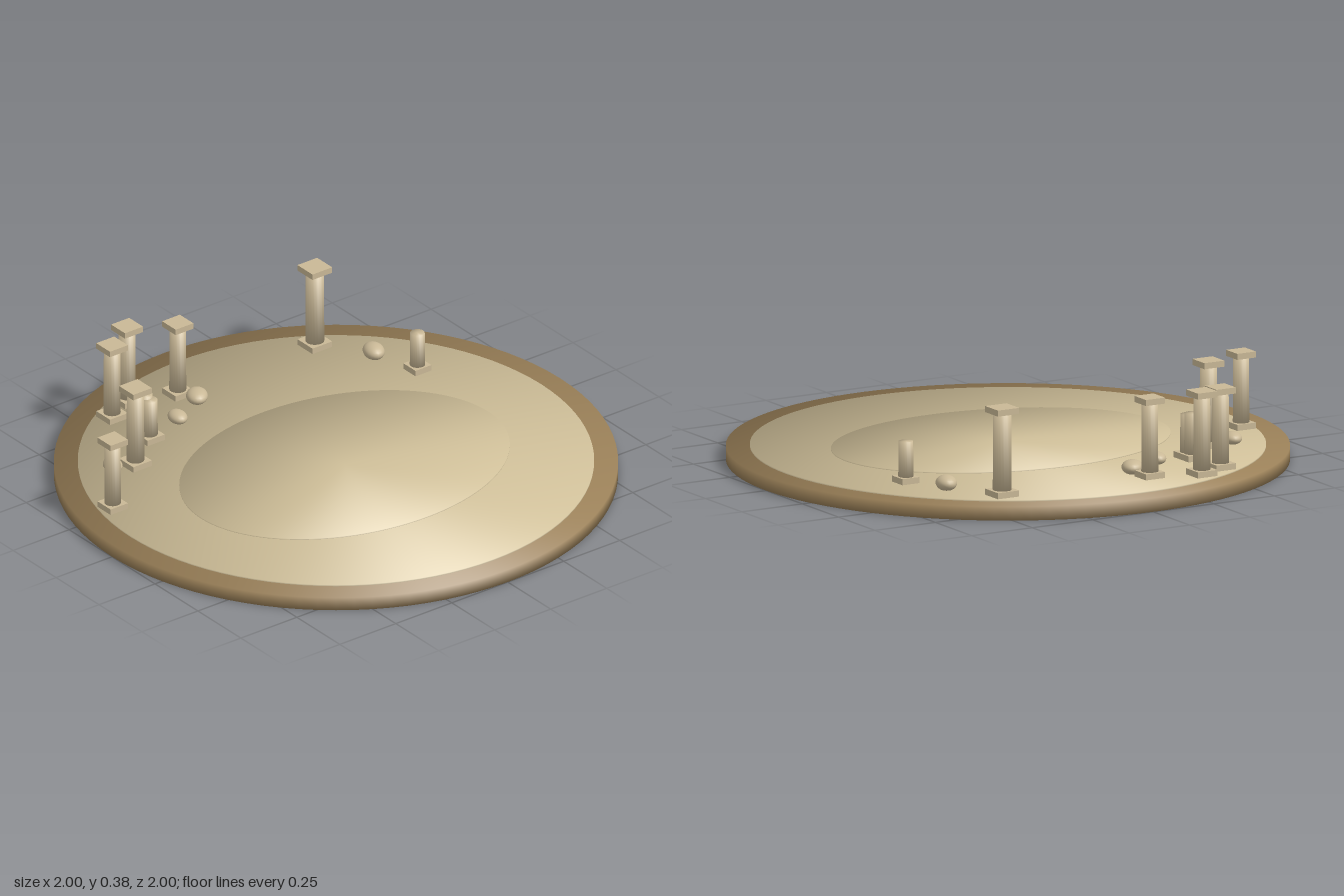
import * as THREE from 'three';

const mat = (name, color) => {
  const m = new THREE.MeshStandardMaterial({ color });
  m.name = name;
  return m;
};

// Solid drum with softly blended normals around its edges
function drum(rx, rz, y0, y1, segments, rTop = 1) {
  const profile = [[0, y0], [1, y0], [rTop, y1], [0, y1]].map(([r, y]) => new THREE.Vector2(r, y));
  const geo = new THREE.LatheGeometry(profile, segments);
  geo.scale(rx, 1, rz);
  const pos = geo.attributes.position, nor = geo.attributes.normal;
  const n = new THREE.Vector3();
  const mid = (y0 + y1) / 2;
  for (let i = 0; i < pos.count; i++) {
    n.set(pos.getX(i) / (rx * rx), 0, pos.getZ(i) / (rz * rz));
    if (n.length() > 1e-4) n.normalize();
    n.y = pos.getY(i) > mid ? 1 : -1;
    n.normalize();
    nor.setXYZ(i, n.x, n.y, n.z);
  }
  return geo;
}

export function createModel() {
  const rimBrown = mat('rim brown', 0x9a8058);
  const sand = mat('sand', 0xcfbf99);
  const stone = mat('stone', 0xc9b896);

  const model = new THREE.Group();
  model.name = 'ruinedArena';
  const add = (parent, name, geo, material, x = 0, y = 0, z = 0) => {
    const mesh = new THREE.Mesh(geo, material);
    mesh.name = name;
    mesh.position.set(x, y, z);
    parent.add(mesh);
    return mesh;
  };

  // Ground: brown base, sandy floor, raised oval
  add(model, 'baseDisc', drum(1, 1, 0, 0.05, 96), rimBrown);
  add(model, 'sandFloor', drum(0.915, 0.915, 0.045, 0.055, 96), sand);
  add(model, 'innerOval', drum(0.64, 0.48, 0.05, 0.059, 96), sand, 0, 0, 0.05);

  const floor = 0.055;

  // Pillar: square foot, round shaft and, when intact, a square cap
  function pillar(name, x, z, top, width, intact) {
    const g = new THREE.Group();
    g.name = name;
    g.position.set(x, 0, z);
    const slab = 0.022, r = width * 0.385;
    const shaftTop = intact ? top - slab : top;
    add(g, 'foot', new THREE.BoxGeometry(width, slab, width), stone, 0, floor + slab / 2, 0);
    add(g, 'shaft', drum(r, r, floor + slab * 0.8, shaftTop, 20, 0.95), stone);
    if (intact) add(g, 'cap', new THREE.BoxGeometry(width, slab, width), stone, 0, top - slab / 2, 0);
    model.add(g);
  }

  // x, z, top height, foot width
  [
    [-0.84, -0.205, 0.335, 0.077],
    [-0.585, -0.405, 0.37, 0.083],
    [-0.44, -0.73, 0.352, 0.08],
    [-0.327, -0.79, 0.363, 0.081],
    [-0.152, -0.723, 0.347, 0.079],
    [0.45, -0.71, 0.377, 0.088],
  ].forEach((p) => pillar('column', ...p, true));

  [
    [-0.43, -0.525, 0.215, 0.077],
    [-0.43, -0.553, 0.224, 0.077],
    [0.632, -0.35, 0.205, 0.071],
  ].forEach((p) => pillar('brokenColumn', ...p, false));

  // Boulders: x, z, radii, turn
  const ball = new THREE.SphereGeometry(1, 20, 14);
  [
    [-0.675, -0.42, 0.034, 0.023, 0.043, -0.25],
    [-0.278, -0.56, 0.033, 0.023, 0.043, -0.15],
    [-0.13, -0.64, 0.039, 0.026, 0.05, -0.6],
    [0.567, -0.52, 0.038, 0.028, 0.049, -0.3],
  ].forEach(([x, z, rx, ry, rz, turn]) => {
    const rock = add(model, 'boulder', ball, stone, x, 0.079, z);
    rock.scale.set(rx, ry, rz);
    rock.rotation.y = turn;
  });

  return model;
}
